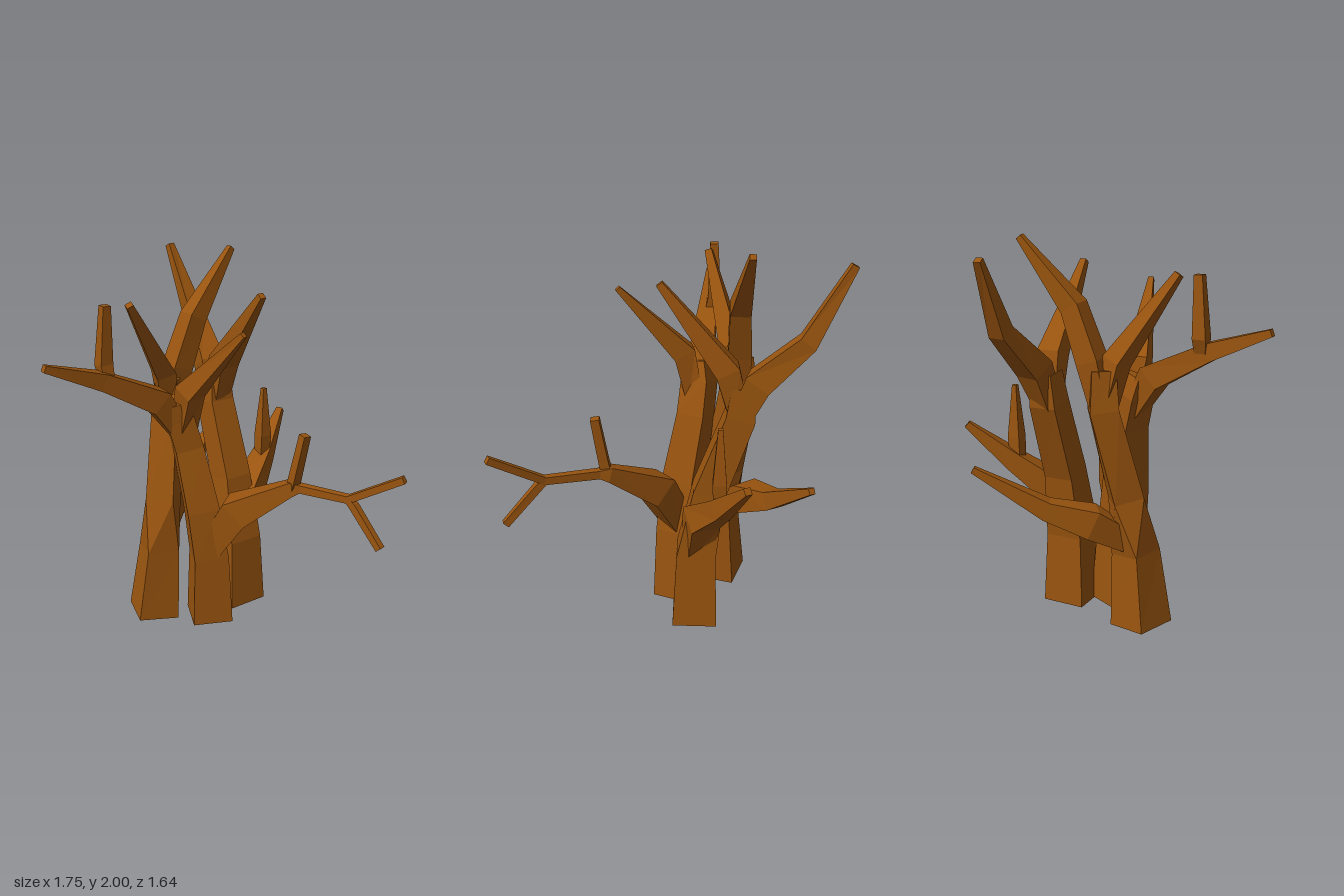
import * as THREE from 'three';

const bark = new THREE.MeshStandardMaterial({ color: 0x99540f, flatShading: true });

const UP = new THREE.Vector3(0, 1, 0);
const X = new THREE.Vector3(1, 0, 0);

// Horizontal direction, in degrees from x towards z
function turned(deg) {
  const a = THREE.MathUtils.degToRad(deg);
  return new THREE.Vector3(Math.cos(a), 0, Math.sin(a));
}

// Four-sided tapering limb: points are [x, y, z, half width, optional turn],
// ref fixes the roll of the sections that have no turn of their own
function limb(name, points, ref) {
  const centres = points.map(p => new THREE.Vector3(p[0], p[1], p[2]));
  const last = points.length - 1;
  const rings = points.map((p, i) => {
    const t = new THREE.Vector3();
    if (i > 0) t.add(centres[i].clone().sub(centres[i - 1]).normalize());
    if (i < last) t.add(centres[i + 1].clone().sub(centres[i]).normalize());
    t.normalize();
    const r = p.length > 4 ? turned(p[4]) : ref;
    const u = r.clone().addScaledVector(t, -r.dot(t)).normalize();
    const v = t.clone().cross(u);
    return [[1, 1], [-1, 1], [-1, -1], [1, -1]].map(([a, b]) =>
      centres[i].clone().addScaledVector(u, a * p[3]).addScaledVector(v, b * p[3]));
  });
  const pos = [];
  const quad = (a, b, c, d) => [a, b, c, a, c, d].forEach(q => pos.push(q.x, q.y, q.z));
  for (let i = 0; i < last; i++) {
    for (let k = 0; k < 4; k++) {
      const n = (k + 1) % 4;
      quad(rings[i][k], rings[i][n], rings[i + 1][n], rings[i + 1][k]);
    }
  }
  quad(...rings[last]);
  quad(...rings[0].slice().reverse());
  const geo = new THREE.BufferGeometry();
  geo.setAttribute('position', new THREE.Float32BufferAttribute(pos, 3));
  geo.computeVertexNormals();
  const mesh = new THREE.Mesh(geo, bark);
  mesh.name = name;
  return mesh;
}

// One tree = named group of limbs
function tree(name, limbs) {
  const g = new THREE.Group();
  g.name = name;
  limbs.forEach(([n, ref, ...pts]) => g.add(limb(n, pts, ref)));
  return g;
}

export function createModel() {
  const model = new THREE.Group();
  model.name = 'bareTrees';

  // Its trunk twists as it rises
  model.add(tree('frontTree', [
    ['trunk', X, [-0.27, 0.01, 0.17, 0.112, 18], [-0.26, 0.4, 0.135, 0.088, 17], [-0.28, 0.69, 0.09, 0.077, 50],
      [-0.35, 1.16, 0.0, 0.072, 56], [-0.34, 1.36, -0.005, 0.06, 56]],
    ['backTopBranch', X, [-0.35, 1.14, 0.0, 0.045], [-0.35, 1.4, -0.06, 0.06], [-0.345, 1.66, -0.16, 0.052],
      [-0.385, 1.99, -0.435, 0.016]],
    ['frontTopBranch', turned(18), [-0.345, 1.14, 0.0, 0.045], [-0.31, 1.4, 0.055, 0.053], [-0.19, 1.83, 0.33, 0.018]],
    ['lowSideBranch', UP, [-0.275, 0.46, 0.11, 0.055], [-0.41, 0.585, -0.04, 0.075], [-0.53, 0.66, -0.23, 0.048],
      [-0.695, 0.87, -0.55, 0.016]],
  ]));

  model.add(tree('middleTree', [
    ['trunk', turned(25), [-0.055, 0.01, -0.065, 0.109], [-0.05, 0.4, -0.055, 0.094], [-0.07, 0.68, -0.02, 0.087],
      [-0.13, 1.03, 0.025, 0.075], [-0.147, 1.2, 0.07, 0.073], [-0.14, 1.3, 0.1, 0.06]],
    ['forwardBranch', UP, [-0.14, 1.08, 0.045, 0.045], [-0.165, 1.31, 0.19, 0.066], [-0.19, 1.47, 0.5, 0.045],
      [-0.2, 1.59, 0.81, 0.018]],
    ['forwardTwig', X, [-0.2, 1.45, 0.46, 0.028], [-0.225, 1.54, 0.465, 0.035], [-0.22, 1.84, 0.45, 0.022]],
    ['sideTopBranch', UP, [-0.14, 1.08, 0.045, 0.045], [-0.065, 1.36, 0.055, 0.058], [0.265, 1.725, -0.035, 0.014]],
    ['longBranch', UP, [-0.05, 0.42, -0.05, 0.065], [0.07, 0.68, -0.15, 0.083], [0.31, 0.855, -0.34, 0.038],
      [0.35, 0.86, -0.36, 0.022], [0.61, 0.87, -0.46, 0.02], [0.86, 1.035, -0.59, 0.018]],
    ['longBranchFork', UP, [0.6, 0.875, -0.455, 0.016], [0.64, 0.84, -0.47, 0.02], [0.805, 0.65, -0.51, 0.018]],
    ['longBranchTwig', X, [0.31, 0.85, -0.335, 0.025], [0.325, 0.92, -0.34, 0.025], [0.362, 1.16, -0.365, 0.022]],
  ]));

  model.add(tree('backTree', [
    ['trunk', X, [-0.135, 0.01, -0.31, 0.115], [-0.14, 0.4, -0.305, 0.1], [-0.2, 0.75, -0.31, 0.08],
      [-0.35, 1.16, -0.31, 0.073], [-0.365, 1.32, -0.315, 0.06]],
    ['outerTopBranch', UP, [-0.345, 1.12, -0.31, 0.05], [-0.44, 1.35, -0.335, 0.068], [-0.66, 1.57, -0.38, 0.045],
      [-0.86, 1.935, -0.355, 0.018]],
    ['innerTopBranch', UP, [-0.355, 1.12, -0.31, 0.05], [-0.285, 1.4, -0.32, 0.06], [0.045, 1.83, -0.315, 0.017]],
    ['rearBranch', UP, [-0.14, 0.38, -0.31, 0.06], [-0.165, 0.64, -0.4, 0.076], [-0.26, 0.79, -0.59, 0.05],
      [-0.375, 0.99, -0.8, 0.018]],
    ['rearTwig', X, [-0.25, 0.78, -0.57, 0.03], [-0.25, 0.92, -0.575, 0.034], [-0.25, 1.2, -0.575, 0.012]],
  ]));

  return model;
}
